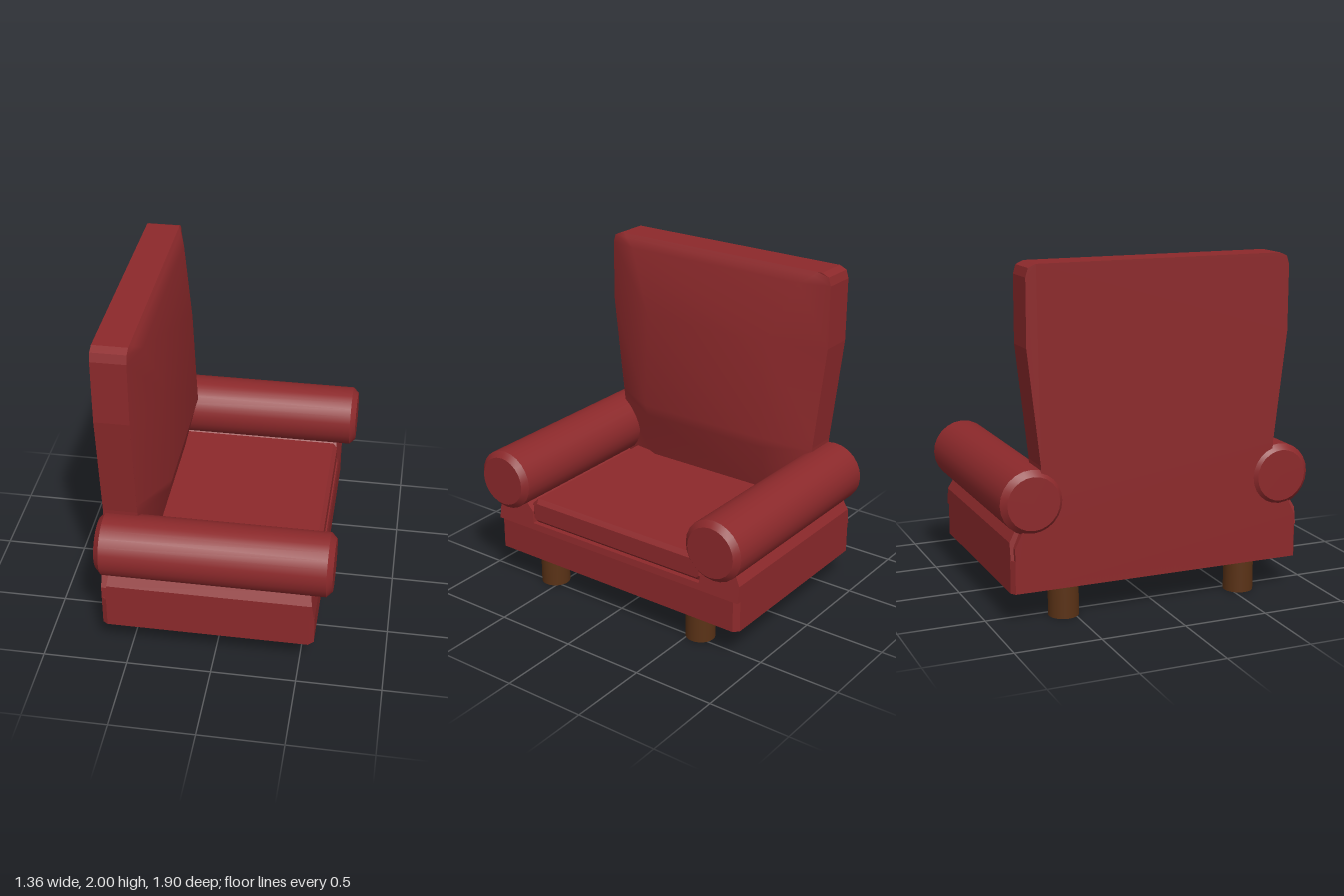
import * as THREE from 'three';
import { toCreasedNormals } from 'three/addons/utils/BufferGeometryUtils.js';

const fabric = new THREE.MeshStandardMaterial({ color: 0x8c292b, side: THREE.DoubleSide });
const wood = new THREE.MeshStandardMaterial({ color: 0x5a3216 });

// Closed shape from its right half, listed bottom to top
function mirroredShape(half) {
  const left = half.map(([a, b]) => [-a, b]).reverse();
  return new THREE.Shape([...half, ...left].map(([a, b]) => new THREE.Vector2(a, b)));
}

// Extrude a (z, y) outline along x, from x0 to x1
function extrudeX(half, x0, x1, bevel = 0) {
  const geo = new THREE.ExtrudeGeometry(mirroredShape(half), {
    depth: x1 - x0 - 2 * bevel, bevelEnabled: bevel > 0, bevelThickness: bevel,
    bevelSize: bevel, bevelOffset: -bevel, bevelSegments: 1,
  });
  return geo.rotateY(Math.PI / 2).translate(x0 + bevel, 0, 0);
}

export function createModel() {
  const chair = new THREE.Group();
  chair.name = 'armchair';
  const add = (name, geo, material = fabric) => {
    const mesh = new THREE.Mesh(geo, material);
    mesh.name = name;
    chair.add(mesh);
    return mesh;
  };

  // Base block with clipped corners
  const plan = mirroredShape([[0.87, -0.66], [0.89, -0.63], [0.89, 0.555], [0.86, 0.585]]);
  const base = new THREE.ExtrudeGeometry(plan, { depth: 0.19, bevelEnabled: false });
  // plan is (z, x): stand it up so that x runs front to back
  base.rotateX(-Math.PI / 2).rotateY(-Math.PI / 2).translate(0, 0.19, 0);
  add('base', base);

  // Raised sides and seat deck, ends leaning inwards with height
  const deck = extrudeX([[0.89, 0.38], [0.89, 0.48], [0.85, 0.55], [0.7, 0.55],
    [0.63, 0.49], [0.62, 0.42]], -0.64, 0.585);
  const p = deck.attributes.position;
  for (let i = 0; i < p.count; i++) {
    p.setX(i, p.getX(i) - Math.sign(p.getX(i)) * (p.getY(i) - 0.38) * 0.16);
  }
  deck.computeVertexNormals();
  add('deck', deck);

  // Seat cushion
  add('seatCushion', extrudeX([[0.61, 0.42], [0.64, 0.45], [0.64, 0.54], [0.6, 0.58]],
    -0.5, 0.572, 0.025));

  // Back panel, reaching down behind the base
  add('backPanel', extrudeX([[0.87, 0.19], [0.87, 0.45], [0.82, 0.55], [0.71, 0.7],
    [0.715, 0.9], [0.79, 1.55], [0.79, 1.93], [0.775, 1.98], [0.73, 2]], -0.66, -0.46));

  // Padded front of the back: rows of [y, outer half width, inner half width, front x]
  const rows = [[0.5, 0.71, 0.43, -0.42], [0.88, 0.713, 0.43, -0.33], [0.95, 0.72, 0.43, -0.31],
    [1.55, 0.79, 0.43, -0.335], [1.93, 0.79, 0.6, -0.41], [1.98, 0.775, 0.68, -0.445],
    [2, 0.73, 0.7, -0.46]];
  const pos = [], index = [];
  rows.forEach(([y, w, wi, x], r) => {
    pos.push(-0.46, y, w, x, y, wi, x, y, -wi, -0.46, y, -w);
    if (r === 0) return;
    for (let c = 0; c < 3; c++) {
      const a = (r - 1) * 4 + c, b = r * 4 + c;
      index.push(a, a + 1, b, a + 1, b + 1, b);
    }
  });
  const pad = new THREE.BufferGeometry();
  pad.setAttribute('position', new THREE.Float32BufferAttribute(pos, 3));
  pad.setIndex(index);
  pad.computeVertexNormals();
  add('backPad', pad);

  // Rolled arms with chamfered ends
  const armProfile = [[0, -0.68], [0.152, -0.68], [0.185, -0.647], [0.185, 0.647],
    [0.152, 0.68], [0, 0.68]].map(([r, y]) => new THREE.Vector2(r, y));
  const arm = toCreasedNormals(new THREE.LatheGeometry(armProfile, 24), 0.5)
    .rotateZ(-Math.PI / 2);
  for (const [name, side] of [['armFrontSide', 1], ['armBackSide', -1]]) {
    add(name, arm).position.set(0, 0.7, side * 0.765);
  }

  // Legs
  const leg = new THREE.CylinderGeometry(0.088, 0.088, 0.2, 24);
  for (const x of [-0.56, 0.46]) {
    for (const z of [-0.555, 0.555]) add('leg', leg, wood).position.set(x, 0.1, z);
  }
  return chair;
}
